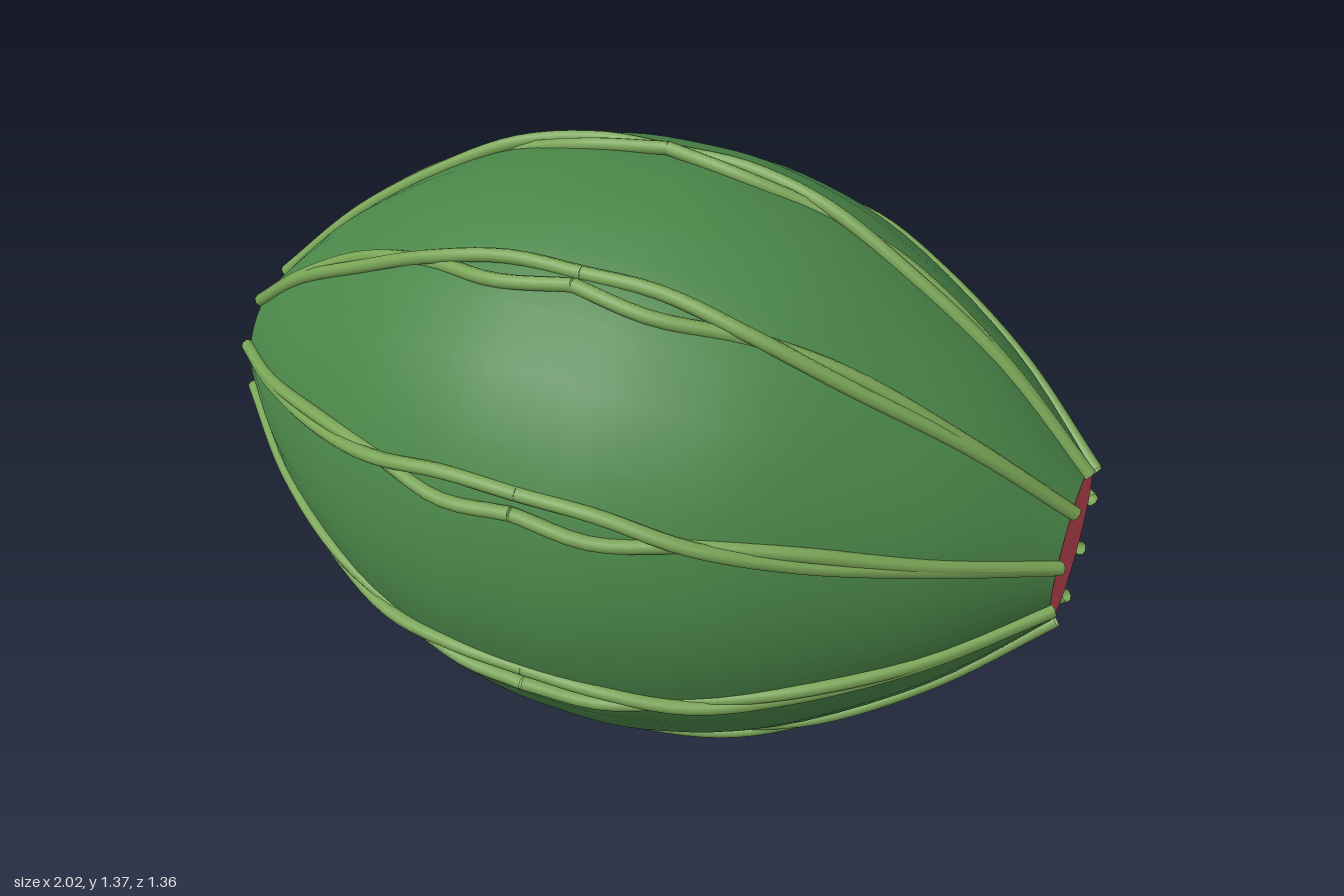
import * as THREE from 'three';

const rind = new THREE.MeshStandardMaterial({ color: 0x4a8648 });
rind.name = 'rind green';
const vine = new THREE.MeshStandardMaterial({ color: 0x7aa657, side: THREE.DoubleSide });
vine.name = 'vine green';
const flesh = new THREE.MeshStandardMaterial({ color: 0xc94a58 });
flesh.name = 'flesh red';

const CY = 0.69, CZ = 0.012, END = 0.99;

// Half profile of the rind: distance along the axis, radius
const half = [[0, 0.67], [0.21, 0.653], [0.47, 0.568], [0.77, 0.377], [END, 0.168]];
const profile = new THREE.SplineCurve([
  ...half.slice(1).reverse().map(([x, r]) => new THREE.Vector2(r, -x)),
  ...half.map(([x, r]) => new THREE.Vector2(r, x)),
]);
const samples = profile.getPoints(160);

function radiusAt(x) {
  for (let i = 1; i < samples.length; i++) {
    const a = samples[i - 1], b = samples[i];
    if (x <= b.y) return THREE.MathUtils.mapLinear(x, a.y, b.y, a.x, b.x);
  }
  return samples[samples.length - 1].x;
}

// Strand keys: distance along the axis, sideways offset, outward offset
const strands = [
  [[0, -0.012, 0.012], [0.17, -0.032, 0.002], [0.36, 0, -0.006], [0.55, 0.013, 0.004], [0.78, 0.004, 0.004], [1, 0, 0]],
  [[0, 0.026, -0.004], [0.17, 0.026, 0.002], [0.36, 0, 0.012], [0.55, -0.011, 0.004], [0.78, -0.004, 0.004], [1, 0, 0]],
];

function strandGeometry(keys, angle, side) {
  const c = Math.cos(angle), s = Math.sin(angle);
  const points = keys.map(([x, t, n]) => {
    const r = radiusAt(Math.min(x, END)) + n;
    return new THREE.Vector3(side * x * 0.997, r * s + t * c, r * c - t * s);
  });
  return new THREE.TubeGeometry(new THREE.CatmullRomCurve3(points), 28, 0.0155, 8);
}

export function createModel() {
  const model = new THREE.Group();
  model.name = 'melon';
  const add = (name, geometry, material, parent = model) => {
    const mesh = new THREE.Mesh(geometry, material);
    mesh.name = name;
    parent.add(mesh);
    return mesh;
  };

  // Rind turned about the long axis
  const body = new THREE.LatheGeometry(profile.getPoints(40), 30, Math.PI / 2);
  body.rotateZ(-Math.PI / 2);
  add('rind', body, rind);

  // Cut ends
  for (const side of [-1, 1]) {
    const cut = new THREE.CircleGeometry(0.168, 30);
    cut.rotateY(side * Math.PI / 2);
    add(side > 0 ? 'leftCut' : 'rightCut', cut, flesh).position.x = side * END;
  }

  // Nine pairs of twisted vines, mirrored about the middle
  for (let i = 0; i < 9; i++) {
    const angle = THREE.MathUtils.degToRad(20 + 40 * i);
    const pair = new THREE.Group();
    pair.name = 'twistedVine' + (i + 1);
    for (const side of [-1, 1])
      for (const keys of strands) add('vineStrand', strandGeometry(keys, angle, side), vine, pair);
    model.add(pair);
  }

  for (const part of model.children) part.position.add(new THREE.Vector3(0, CY, CZ));
  return model;
}
